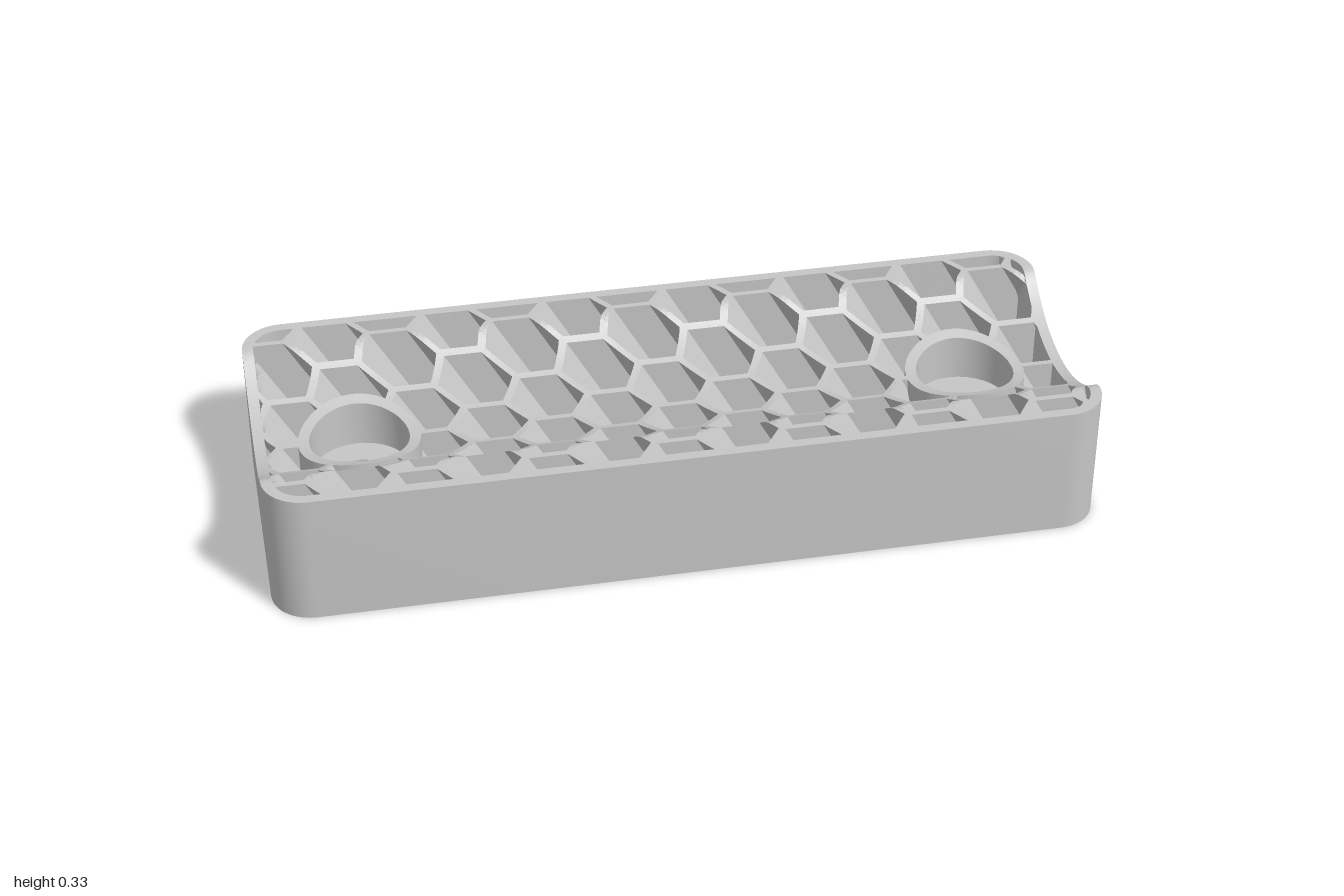
import * as THREE from 'three';
import { toCreasedNormals } from 'three/addons/utils/BufferGeometryUtils.js';

// Overall sizes
const OUT = { x: 1, z: 0.374, r: 0.1 };
const INN = { x: 0.973, z: 0.348, r: 0.073 };
const BOSS = { x: 0.749, r: 0.147, bore: 0.12, hole: 0.05, floor: 0.13 };
// Honeycomb: column and row pitch, half heights with and without wall, lean
const PX = 0.152, PZ = 0.147, H = PZ / 2, h = 0.0662, LEAN = 0.56;

const clamp = THREE.MathUtils.clamp;
const lerp = THREE.MathUtils.lerp;

// Height of the trough-shaped top, with softly rounded shoulders
function topY(z) {
  const R = 0.372, top = 0.333, k = 0.016;
  const arc = 0.228 + R - Math.sqrt(Math.max(0, R * R - z * z));
  const m = Math.max(k - Math.abs(arc - top), 0) / k;
  return Math.min(arc, top) - m * m * k / 4;
}

// Inner half length at a given z, including the rounded corners
function innerX(z) {
  const d = Math.max(0, Math.abs(z) - (INN.z - INN.r));
  return INN.x - INN.r + Math.sqrt(Math.max(0, INN.r ** 2 - d * d));
}

// Adds a grid of triangles for fn(u, v); it faces du x dv
function addGrid(out, nu, nv, fn, keep = () => true) {
  const tri = (...p) => { if (keep(p)) p.forEach((q) => out.push(...q)); };
  for (let i = 0; i < nu; i++) {
    for (let j = 0; j < nv; j++) {
      const a = fn(i / nu, j / nv), b = fn((i + 1) / nu, j / nv);
      const c = fn((i + 1) / nu, (j + 1) / nv), d = fn(i / nu, (j + 1) / nv);
      tri(a, b, c);
      tri(a, c, d);
    }
  }
}

function toGeometry(out) {
  const g = new THREE.BufferGeometry();
  g.setAttribute('position', new THREE.Float32BufferAttribute(out, 3));
  g.computeVertexNormals();
  return g;
}

// Rounded rectangle outline, densely stepped along the curved ends
function outline({ x, z, r }) {
  const pts = [], nEnd = 48, nArc = 10;
  for (const s of [1, -1]) {
    for (let i = 0; i < nEnd; i++) pts.push([s * x, s * lerp(-(z - r), z - r, i / nEnd)]);
    for (let c = 0; c < 2; c++) {
      const cx = s * (c ? -1 : 1) * (x - r), cz = s * (z - r);
      for (let i = 0; i <= nArc; i++) {
        const a = (i / nArc + c + (s < 0 ? 2 : 0)) * Math.PI / 2;
        pts.push([cx + r * Math.cos(a), cz + r * Math.sin(a)]);
      }
    }
  }
  return pts;
}

// Closed ring solid from a loop of [outline, height rule] pairs
function ringGeometry(profile) {
  const out = [], n = profile[0][0].length;
  addGrid(out, profile.length, n, (u, v) => {
    const [pts, y] = profile[Math.round(u * profile.length) % profile.length];
    const [x, z] = pts[Math.round(v * n) % n];
    return [x, y(z), z];
  });
  return toCreasedNormals(toGeometry(out), Math.PI / 6);
}

const circle = (cx, r, n = 64) => Array.from({ length: n }, (_, i) => {
  const a = i / n * Math.PI * 2;
  return [cx + r * Math.cos(a), r * Math.sin(a)];
});

// Drops lattice pieces buried in the end walls or lying in a screw well
function keepLattice(p) {
  if (p.every(([x, , z]) => Math.abs(x) >= innerX(z) - 1e-6)) return false;
  return !p.some(([x, , z]) => Math.hypot(Math.abs(x) - BOSS.x, z) < BOSS.bore + 0.004);
}

// One leaning hexagonal cell: the tube walls and its share of the wall edges
function addCell(out, xc, zc) {
  const cz = (z) => clamp(z, -INN.z, INN.z);
  const [za, z0, z1, zb] = [zc - H, zc - h, zc + h, zc + H].map(cz);
  if (zb - za < 1e-4) return;
  const S = PX * 2 / 3, s = S * h / H;
  const nt = Math.abs(xc) > 0.4 ? 14 : 3, nz = 10;
  const half = (z, size, height) => size * (1 - Math.abs(z - zc) / (2 * height));
  const point = (off, z, t) => {
    const y = t * topY(z), X = innerX(z);
    return [clamp(xc - LEAN * y + off, -X, X), y, z];
  };
  const full = (z) => half(z, S, H), inner = (z) => half(z, s, h);
  const zAt = (v) => cz(lerp(zc - h, zc + h, v));
  const grid = (a, b, fn) => addGrid(out, a, b, fn, keepLattice);

  // Plain edge strips above and below the opening
  for (const [p, q] of [[za, z0], [z1, zb]]) {
    if (q - p < 1e-5) continue;
    const at = (u, v, t) => { const z = lerp(p, q, u); return point(lerp(-1, 1, v) * full(z), z, t); };
    grid(1, 10, (u, v) => at(u, v, 1));
    grid(10, 1, (u, v) => at(v, u, 0));
  }
  if (z1 - z0 < 1e-4) return;

  // Edge strips beside the opening
  for (const side of [-1, 1]) {
    const at = (u, v, t) => {
      const z = zAt(u), a = side * full(z), b = side * inner(z);
      return point(side < 0 ? lerp(a, b, v) : lerp(b, a, v), z, t);
    };
    grid(nz, 1, (u, v) => at(u, v, 1));
    grid(1, nz, (u, v) => at(v, u, 0));
  }

  // Slanted walls, then the two flat walls
  grid(nt, nz, (u, v) => point(-inner(zAt(v)), zAt(v), u));
  grid(nz, nt, (u, v) => point(inner(zAt(u)), zAt(u), v));
  grid(8, nt, (u, v) => point(lerp(-1, 1, u) * inner(z0), z0, v));
  grid(nt, 8, (u, v) => point(lerp(-1, 1, v) * inner(z1), z1, u));
}

export function createModel() {
  const model = new THREE.Group();
  model.name = 'honeycombCradle';
  const grey = new THREE.MeshStandardMaterial({ color: 0xc6c6c6 });
  grey.name = 'plainGrey';
  const add = (geometry, name) => {
    const mesh = new THREE.Mesh(geometry, grey);
    mesh.name = name;
    model.add(mesh);
  };
  const base = () => 0;

  // Outer shell wall
  const inside = outline(INN), outside = outline(OUT);
  add(ringGeometry([[inside, base], [outside, base], [outside, topY], [inside, topY]]), 'outerWall');

  // Leaning honeycomb filling, centred on the base
  const out = [];
  for (let i = -7; i <= 8; i++) {
    for (let j = -3; j <= 3; j++) addCell(out, i * PX, (j + (i % 2 ? 0.5 : 0)) * PZ);
  }
  add(toGeometry(out), 'honeycombCore');

  // Screw wells with a recessed floor and through hole
  for (const side of [-1, 1]) {
    const [rim, bore, hole] = [BOSS.r, BOSS.bore, BOSS.hole].map((r) => circle(side * BOSS.x, r));
    const floor = () => BOSS.floor;
    add(ringGeometry([[rim, base], [rim, topY], [bore, topY], [bore, floor], [hole, floor], [hole, base]]),
      side > 0 ? 'leftScrewWell' : 'rightScrewWell');
  }
  return model;
}
